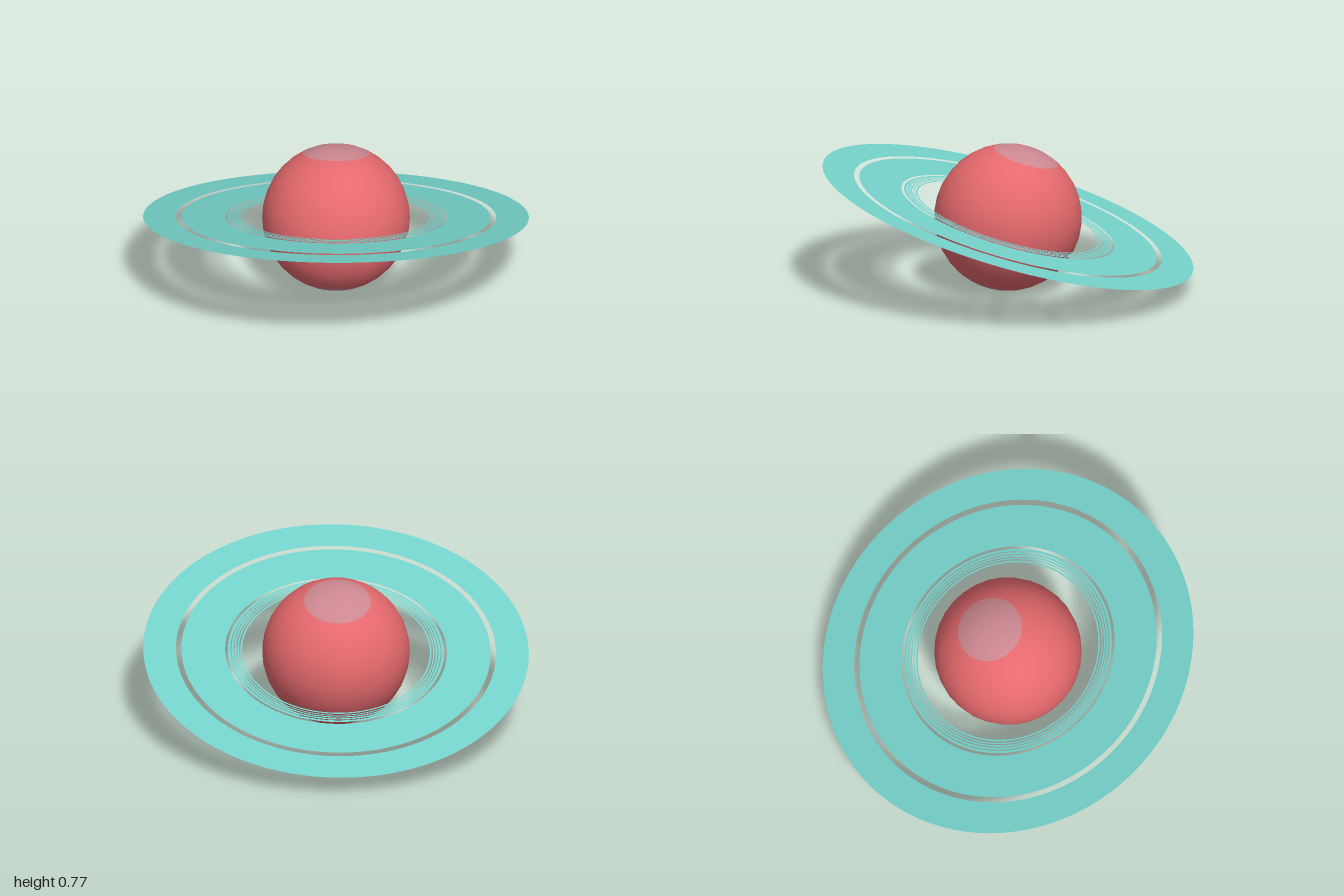
import * as THREE from 'three';

export function createModel() {
  const model = new THREE.Group();
  model.name = 'ringedPlanet';

  const paint = (name, color, side = THREE.FrontSide) => {
    const m = new THREE.MeshStandardMaterial({ color, side });
    m.name = name;
    return m;
  };
  const red = paint('planet red', 0xe4696d);
  const mauve = paint('polar mauve', 0xcc8790);
  const teal = paint('ring teal', 0x74d2ca, THREE.DoubleSide);

  // Everything shares one axis, leaning back so the front of the rings rises
  const tilted = new THREE.Group();
  tilted.name = 'tiltedPlanet';
  tilted.position.y = 0.385;
  tilted.rotation.x = -THREE.MathUtils.degToRad(16);
  model.add(tilted);

  const add = (name, geometry, material) => {
    const mesh = new THREE.Mesh(geometry, material);
    mesh.name = name;
    tilted.add(mesh);
    return mesh;
  };

  // Globe in three latitude bands
  const radius = 0.383;
  const cap = THREE.MathUtils.degToRad(27);
  const band = (start, length, rows) =>
    new THREE.SphereGeometry(radius, 32, rows, 0, Math.PI * 2, start, length);
  add('globe', band(cap, Math.PI - 2 * cap, 12), red);
  add('northCap', band(0, cap, 3), mauve);
  add('southCap', band(Math.PI - cap, cap, 3), mauve);

  // Flat rings: two broad ones and a group of fine inner ones
  const rings = [
    [0.83, 1.0], [0.575, 0.802],
    [0.547, 0.561], [0.531, 0.542], [0.517, 0.526], [0.504, 0.511], [0.487, 0.496],
  ];
  rings.forEach(([inner, outer], i) => {
    const geometry = new THREE.RingGeometry(inner, outer, 128);
    geometry.rotateX(-Math.PI / 2);
    add(i < 2 ? `broadRing${i + 1}` : `fineRing${i - 1}`, geometry, teal);
  });

  return model;
}
